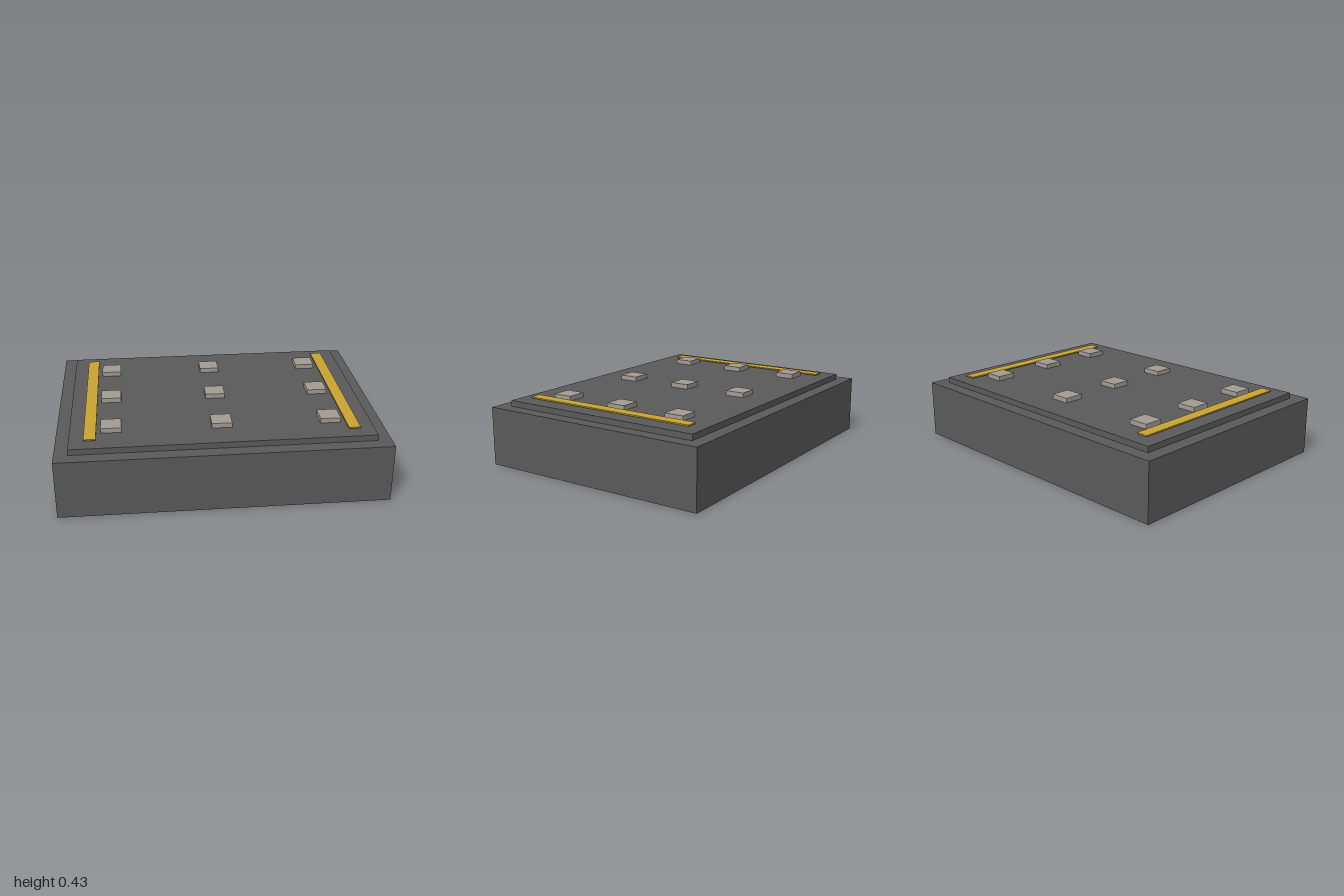
import * as THREE from 'three';

export function createModel() {
  const model = new THREE.Group();
  const darkGrey = new THREE.MeshStandardMaterial({ name: 'darkGrey', color: 0x5a5a5a });
  const gold = new THREE.MeshStandardMaterial({ name: 'gold', color: 0xc8a432 });
  const warmGrey = new THREE.MeshStandardMaterial({ name: 'warmGrey', color: 0xa39b94 });

  // Box placed by its bottom height
  function addBox(name, material, [w, h, d], [x, bottom, z]) {
    const mesh = new THREE.Mesh(new THREE.BoxGeometry(w, h, d), material);
    mesh.name = name;
    mesh.position.set(x, bottom + h / 2, z);
    model.add(mesh);
  }

  // Block and raised top plate
  addBox('base', darkGrey, [2, 0.367, 1.5], [0, 0, 0]);
  addBox('topPlate', darkGrey, [1.833, 0.037, 1.333], [0, 0.367, 0]);

  // Thin strips hovering just above the plate along both sides
  for (const [side, x] of [['right', -0.792], ['left', 0.792]]) {
    addBox(side + 'Strip', gold, [0.072, 0.008, 1.167], [x, 0.412, 0]);
  }

  // Three by three grid of pads
  for (const [column, x] of [['right', -0.667], ['middle', 0], ['left', 0.667]]) {
    for (const [row, z] of [['Back', -0.417], ['Centre', 0], ['Front', 0.417]]) {
      addBox(column + row + 'Pad', warmGrey, [0.125, 0.031, 0.125], [x, 0.403, z]);
    }
  }
  return model;
}
